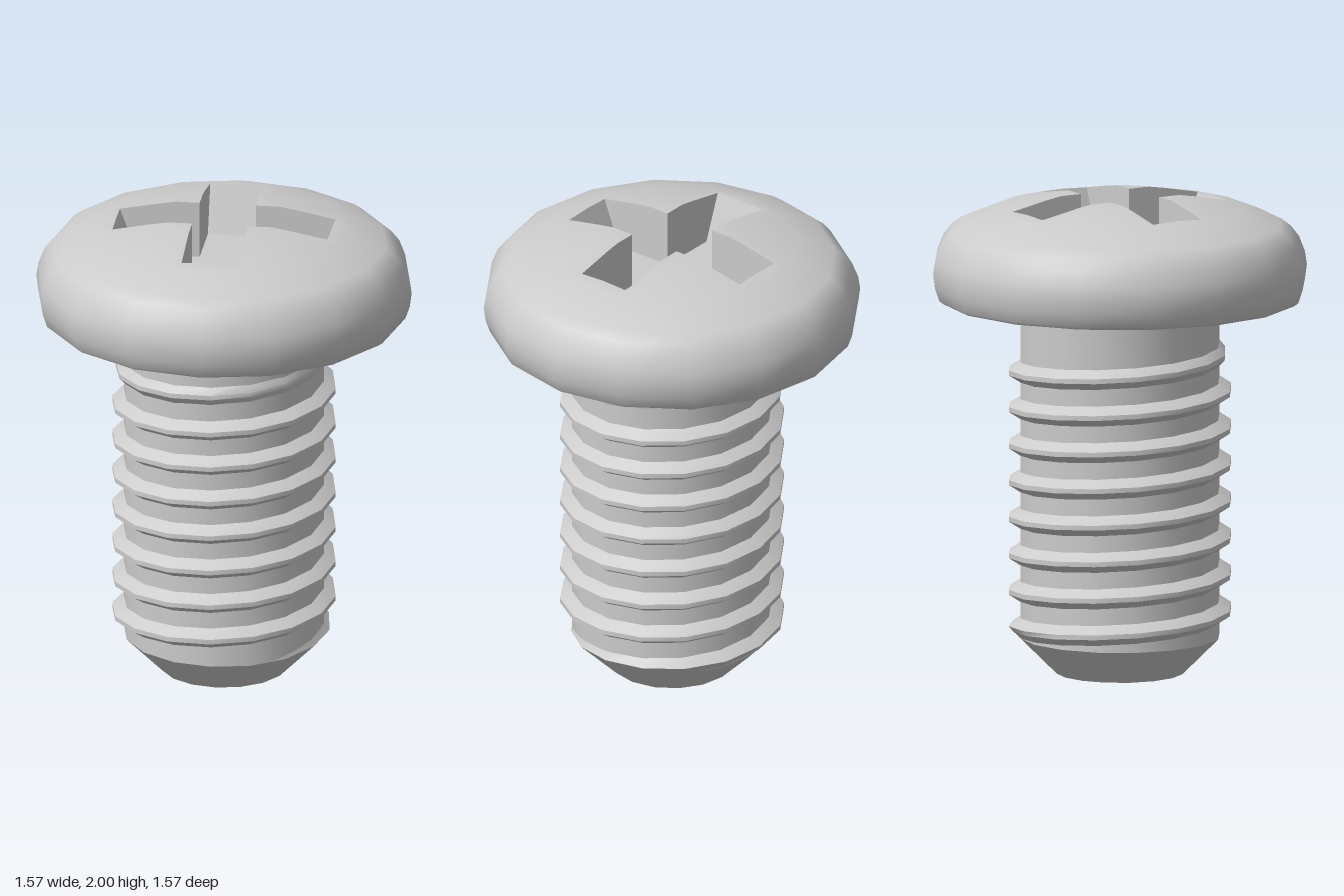
import * as THREE from 'three';
import { toCreasedNormals } from 'three/addons/utils/BufferGeometryUtils.js';

const SIDES = 16;
const STEP = (2 * Math.PI) / SIDES;
const SLOT = { half: 0.117, reach: 0.45, floorReach: 0.375, floorY: 1.76 };

const material = new THREE.MeshStandardMaterial({ color: 0xcccccc });

function part(name, geometry) {
  const mesh = new THREE.Mesh(geometry, material);
  mesh.name = name;
  return mesh;
}

// Sheet of quads: columns run around the axis, rows run along the section
function sheet(rows, cols, point) {
  const pos = [], index = [];
  for (let i = 0; i < rows; i++) {
    for (let j = 0; j < cols; j++) {
      pos.push(...point(i, j));
      if (i < rows - 1 && j < cols - 1) {
        const a = i * cols + j, b = a + 1, c = a + cols, d = c + 1;
        index.push(a, b, d, a, d, c);
      }
    }
  }
  const g = new THREE.BufferGeometry();
  g.setAttribute('position', new THREE.Float32BufferAttribute(pos, 3));
  g.setIndex(index);
  g.computeVertexNormals();
  return g;
}

const lathe = (pts) =>
  toCreasedNormals(new THREE.LatheGeometry(pts.map((p) => new THREE.Vector2(...p)), SIDES), 0.6);

// Distance from the axis to a polygon side, relative to its corner radius
function polygonFactor(t) {
  const a = ((t % STEP) + STEP) % STEP;
  return Math.cos(STEP / 2) / Math.cos(a - STEP / 2);
}

// Distance from the axis to the edge of the cross-shaped recess
function crossRadius(t) {
  const a = t - Math.round(t / (Math.PI / 2)) * (Math.PI / 2);
  return Math.min(SLOT.half / Math.max(Math.abs(Math.sin(a)), 1e-6), SLOT.reach / Math.cos(a));
}

// Angles that hit every head corner and every recess corner
function headAngles() {
  const end = Math.atan(SLOT.half / SLOT.reach);
  const quarter = [0, end, 0.32, STEP, 0.5, 0.63, Math.PI / 4];
  const list = [];
  for (let q = 0; q < 4; q++) {
    for (const a of quarter) list.push(q * Math.PI / 2 + a);
    for (const a of quarter.slice(1, -1).reverse()) list.push((q + 1) * Math.PI / 2 - a);
  }
  return [...list, 2 * Math.PI];
}

function buildHead() {
  const group = new THREE.Group();
  group.name = 'head';
  const profile = [
    [0.74, 1.565], [0.757, 1.578], [0.775, 1.63], [0.783, 1.69], [0.775, 1.745],
    [0.75, 1.81], [0.715, 1.855], [0.677, 1.884], [0.52, 1.947], [0.25, 2], [0, 2],
  ];
  const angles = headAngles();
  const last = profile.length - 1;

  // Dome height at a given corner radius
  const domeY = (r) => {
    const i = Math.max(7, profile.findIndex((p, k) => k > 7 && p[0] <= r) - 1);
    const [r0, y0] = profile[i], [r1, y1] = profile[i + 1];
    return y0 + ((y1 - y0) * (r - r0)) / (r1 - r0);
  };
  const headPoint = (i, j) => {
    const t = angles[j], f = polygonFactor(t), edge = crossRadius(t) / f;
    const clipped = profile[i][0] < edge;
    const r = clipped ? edge : profile[i][0];
    return [r * f * Math.sin(t), clipped ? domeY(r) : profile[i][1], r * f * Math.cos(t)];
  };

  // Domed outside with smooth shading around the axis
  const dome = sheet(profile.length, angles.length, headPoint);
  const normals = dome.attributes.normal;
  profile.forEach((_, i) => {
    const a = profile[Math.max(i - 1, 0)], b = profile[Math.min(i + 1, last)];
    const n = new THREE.Vector2(b[1] - a[1], a[0] - b[0]).normalize();
    angles.forEach((t, j) =>
      normals.setXYZ(i * angles.length + j, n.x * Math.sin(t), n.y, n.x * Math.cos(t)));
  });
  group.add(part('headDome', dome));

  // Flat underside
  const under = new THREE.CircleGeometry(0.74, SIDES).rotateX(Math.PI / 2);
  under.translate(0, 1.565, 0);
  group.add(part('headUnderside', under));

  // Recess walls, sloping inwards at the four ends
  const limit = (v) => THREE.MathUtils.clamp(v, -SLOT.floorReach, SLOT.floorReach);
  const walls = sheet(2, angles.length, (i, j) => {
    const [x, y, z] = headPoint(last, j);
    return i === 0 ? [x, y, z] : [limit(x), SLOT.floorY, limit(z)];
  });
  group.add(part('recessWalls', toCreasedNormals(walls, 0.3)));

  // Recess floor
  const w = SLOT.half, e = SLOT.floorReach;
  const cross = [];
  for (let q = 0; q < 4; q++) {
    for (const [x, y] of [[e, -w], [e, w], [w, w]]) {
      cross.push(new THREE.Vector2(x, y).rotateAround(new THREE.Vector2(), q * Math.PI / 2));
    }
  }
  const floor = new THREE.ShapeGeometry(new THREE.Shape(cross)).rotateX(-Math.PI / 2);
  floor.translate(0, SLOT.floorY, 0);
  group.add(part('recessFloor', floor));
  return group;
}

// Helical ridge, cut by the tip cone below and fading out under the head
function buildThread() {
  const pitch = 0.1535, first = -16, count = 136;
  const section = [[0, -0.045], [1, -0.01], [1, 0.01], [0, 0.045]];
  const g = sheet(section.length, count, (i, j) => {
    const t = (first + j) * STEP;
    const mid = 0.28 + (pitch * t) / (2 * Math.PI);
    const fade = THREE.MathUtils.clamp((1.42 - mid) / 0.14, 0, 1);
    const [height, dy] = section[i];
    const y = mid + dy;
    const r = Math.min(0.412 + height * 0.054 * fade, 0.265 + y);
    return [r * Math.sin(t), y, r * Math.cos(t)];
  });
  return part('thread', toCreasedNormals(g, 0.55));
}

export function createModel() {
  const model = new THREE.Group();
  model.name = 'screw';
  // Shaft with chamfered tip and a slight collar under the head
  model.add(part('shaft', lathe([
    [0, 0], [0.265, 0], [0.417, 0.152], [0.417, 1.54], [0.424, 1.545], [0.424, 1.57],
  ])));
  model.add(buildThread(), buildHead());
  return model;
}
